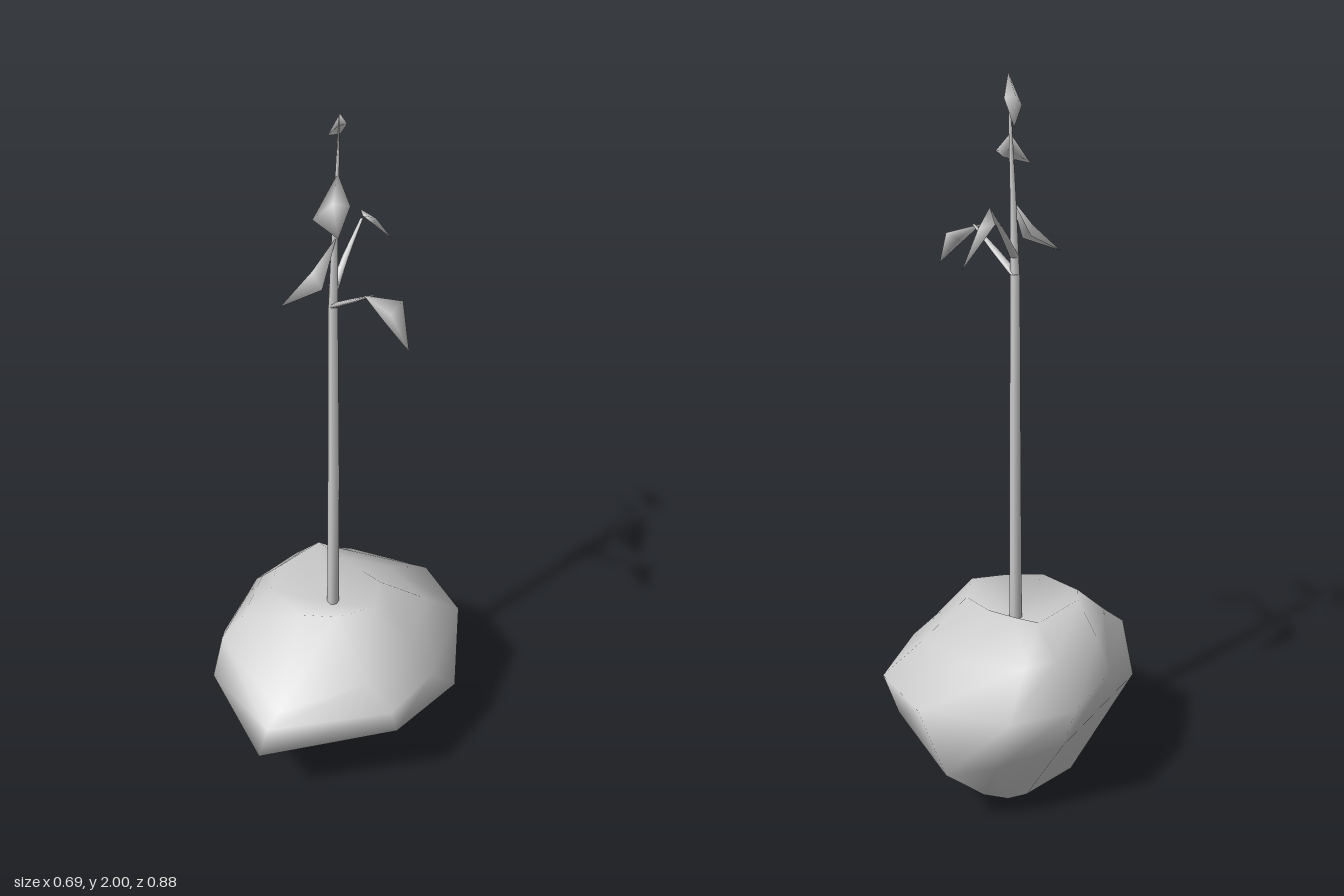
import * as THREE from 'three';

const material = new THREE.MeshStandardMaterial({ color: 0xcccccc });

function buildMesh(name, points, index) {
  const geo = new THREE.BufferGeometry();
  geo.setAttribute('position', new THREE.Float32BufferAttribute(points.flat(), 3));
  geo.setIndex(index);
  geo.computeVertexNormals();
  const mesh = new THREE.Mesh(geo, material);
  mesh.name = name;
  return mesh;
}

// Skin a stack of rings (bottom to top, each running from +z towards +x) and close both ends
function loft(name, rings, bottom, top) {
  const n = rings[0].length;
  const points = [...rings.flat(), bottom, top];
  const low = rings.length * n, high = low + 1, last = low - n;
  const index = [];
  for (let j = 0; j < n; j++) {
    const k = (j + 1) % n;
    for (let i = 0; i < rings.length - 1; i++) {
      const a = i * n + j, b = i * n + k;
      index.push(a, b, b + n, a, b + n, a + n);
    }
    index.push(low, k, j, high, last + j, last + k);
  }
  return buildMesh(name, points, index);
}

// Tapered stalk through [x, y, z, radius] stations
function stalk(name, stations, sides = 6) {
  const rings = stations.map(([x, y, z, r]) => Array.from({ length: sides }, (_, j) => {
    const t = j / sides * Math.PI * 2;
    return [x + Math.sin(t) * r, y, z + Math.cos(t) * r];
  }));
  return loft(name, rings, stations[0].slice(0, 3), stations.at(-1).slice(0, 3));
}

// Thin closed kite-shaped leaf: base, side, tip, side, with a raised midrib above and a flat one below
function leaf(name, base, sideA, tip, sideB) {
  const [b, s, t, u] = [base, sideA, tip, sideB].map(p => new THREE.Vector3(...p));
  const normal = t.clone().sub(b).cross(u.clone().sub(s)).normalize();
  const middle = b.clone().lerp(t, 0.45).lerp(s.clone().add(u).multiplyScalar(0.5), 0.5);
  const rib = h => middle.clone().addScaledVector(normal, h).toArray();
  const ribs = normal.y < 0 ? [rib(-0.002), rib(-0.014)] : [rib(0.014), rib(0.002)];
  const index = [];
  for (let j = 0; j < 4; j++) {
    const k = (j + 1) % 4;
    index.push(j, k, 4, k, j, 5);
  }
  return buildMesh(name, [base, sideA, tip, sideB, ...ribs], index);
}

export function createModel() {
  const model = new THREE.Group();
  model.name = 'sapling';

  // Lumpy soil clod with a shallow hollow on top
  const clodRings = [
    // underside
    [[-0.10, 0.025, 0.07], [0, 0.015, -0.02], [0.03, 0.005, -0.08], [0.02, 0.015, -0.16], [-0.03, 0.03, -0.26],
      [-0.10, 0.03, -0.25], [-0.14, 0.03, -0.21], [-0.21, 0.03, -0.04], [-0.19, 0.035, 0.16]],
    // belly
    [[-0.015, 0.23, 0.435], [0.30, 0.27, 0.19], [0.345, 0.22, -0.11], [0.24, 0.23, -0.25], [0, 0.20, -0.44],
      [-0.12, 0.21, -0.37], [-0.26, 0.24, -0.24], [-0.345, 0.30, 0.10], [-0.26, 0.31, 0.29]],
    // shoulder
    [[0, 0.32, 0.41], [0.28, 0.33, 0.19], [0.315, 0.34, 0], [0.27, 0.36, -0.28], [0.095, 0.36, -0.41],
      [-0.16, 0.36, -0.38], [-0.30, 0.37, -0.26], [-0.33, 0.39, -0.07], [-0.27, 0.40, 0.22]],
    // slope above the shoulder
    [[0, 0.335, 0.35], [0.20, 0.40, 0.18], [0.24, 0.42, 0], [0.19, 0.44, -0.19], [0.04, 0.45, -0.26],
      [-0.15, 0.46, -0.25], [-0.22, 0.47, -0.19], [-0.275, 0.46, -0.02], [-0.23, 0.46, 0.16]],
    // rim
    [[-0.04, 0.538, 0.155], [0.06, 0.538, 0.11], [0.135, 0.547, 0.03], [0.10, 0.545, -0.08], [0.02, 0.535, -0.11],
      [-0.07, 0.54, -0.13], [-0.15, 0.55, -0.15], [-0.20, 0.55, 0.02], [-0.17, 0.538, 0.10]],
  ];
  model.add(loft('soilClod', clodRings, [-0.09, 0.025, -0.06], [-0.02, 0.465, -0.01]));

  // Stem and side branches
  model.add(
    stalk('stem', [[-0.023, 0.4, -0.012, 0.018], [-0.019, 0.95, -0.01, 0.016], [-0.014, 1.46, 0, 0.013],
      [-0.006, 1.68, 0.004, 0.008], [0, 1.84, 0.003, 0.005], [0.006, 2.0, 0.003, 0.001]]),
    stalk('leftBranch', [[-0.012, 1.48, 0, 0.014], [0.06, 1.53, 0.035, 0.011], [0.14, 1.585, 0.075, 0.004]]),
    stalk('backBranch', [[-0.012, 1.525, 0, 0.012], [-0.014, 1.59, -0.065, 0.009], [-0.005, 1.67, -0.135, 0.004]]),
  );

  // Leaves
  model.add(
    leaf('topLeaf', [0.006, 1.995, 0], [-0.045, 1.92, -0.03], [-0.07, 1.88, -0.14], [-0.015, 1.94, -0.075]),
    leaf('upperFrontLeaf', [0, 1.845, 0], [-0.02, 1.755, 0.09], [0.085, 1.755, 0.15], [0.06, 1.79, 0.045]),
    leaf('lowerFrontLeaf', [0, 1.68, 0.005], [-0.05, 1.58, 0.02], [-0.09, 1.52, 0.135], [-0.005, 1.56, 0.07]),
    leaf('leftLeaf', [0.12, 1.585, 0.085], [0.20, 1.565, 0.03], [0.25, 1.465, 0.09], [0.18, 1.53, 0.09]),
    leaf('backLeaf', [0, 1.68, -0.13], [-0.05, 1.655, -0.21], [0.008, 1.55, -0.285], [0.002, 1.63, -0.19]),
  );
  return model;
}
